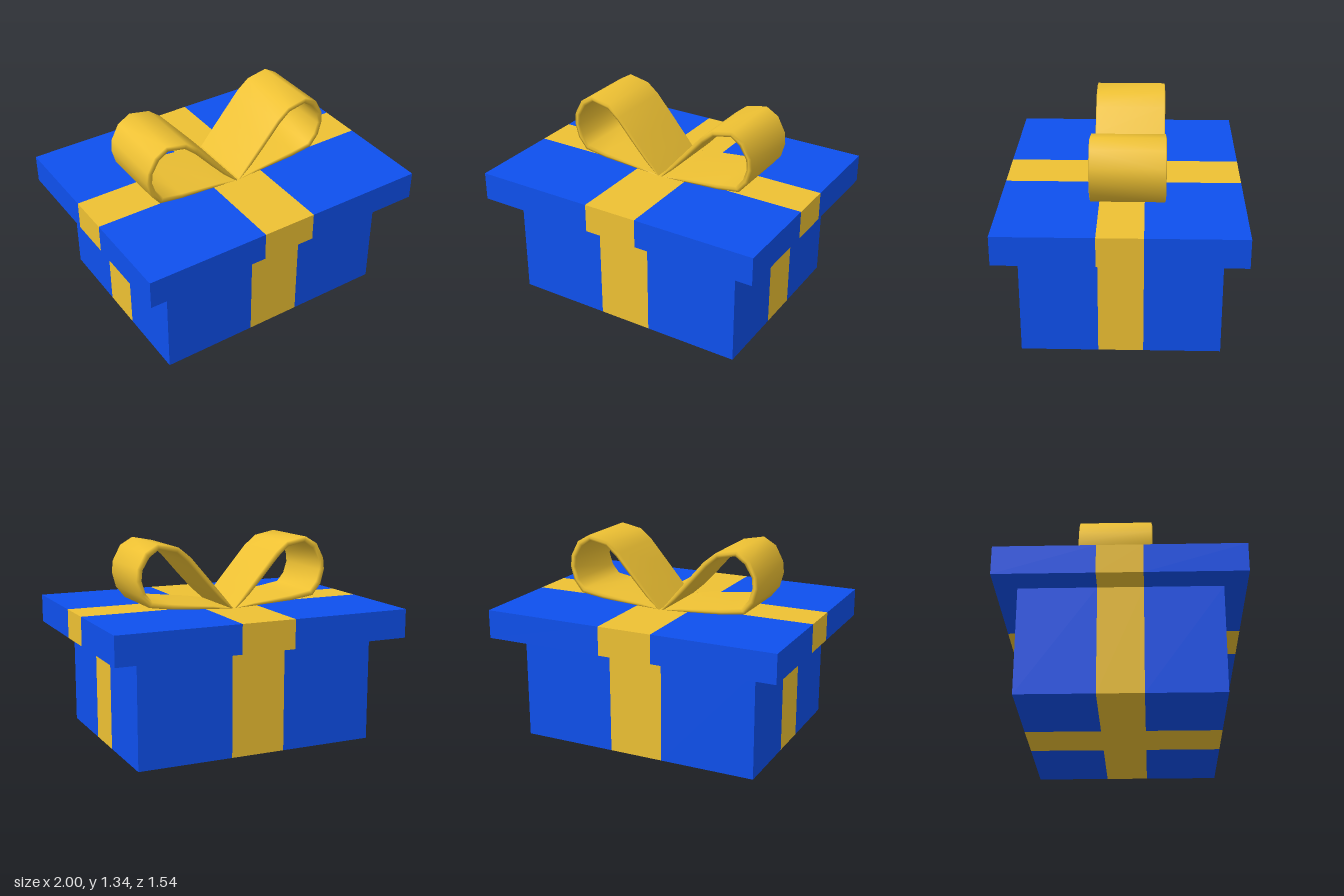
import * as THREE from 'three';

const blue = new THREE.MeshStandardMaterial({ color: 0x0e50ee });
const gold = new THREE.MeshStandardMaterial({ color: 0xeec133 });
const RIBBON_X = 0.183, RIBBON_Z = 0.143; // half widths of the crossing bands

// A box whose crossing ribbon bands lie flush with its faces
function wrappedBox(name, w, y0, y1, d) {
  const group = new THREE.Group();
  group.name = name;
  const box = new THREE.BoxGeometry(w, y1 - y0, d, 3, 1, 3);
  const p = box.attributes.position;
  for (let i = 0; i < p.count; i++) {
    // slide the inner grid lines to the ribbon edges
    const x = p.getX(i), z = p.getZ(i);
    if (Math.abs(x) < w * 0.4) p.setX(i, Math.sign(x) * RIBBON_X);
    if (Math.abs(z) < d * 0.4) p.setZ(i, Math.sign(z) * RIBBON_Z);
  }
  // sort the triangles into paper and ribbon
  const paper = [], ribbon = [], idx = box.index.array;
  for (let t = 0; t < idx.length; t += 3) {
    const tri = [idx[t], idx[t + 1], idx[t + 2]];
    const cx = tri.reduce((s, v) => s + p.getX(v), 0) / 3;
    const cz = tri.reduce((s, v) => s + p.getZ(v), 0) / 3;
    const onBand = Math.abs(cx) < RIBBON_X || Math.abs(cz) < RIBBON_Z;
    (onBand ? ribbon : paper).push(...tri);
  }
  for (const [part, index, mat] of [['Paper', paper, blue], ['Ribbon', ribbon, gold]]) {
    const geo = box.clone();
    geo.setIndex(index);
    const mesh = new THREE.Mesh(geo, mat);
    mesh.name = name + part;
    mesh.position.y = (y0 + y1) / 2;
    group.add(mesh);
  }
  return group;
}

// Bow loop outline: outer x, outer y, inner x, inner y
const LOOP = [
  [0.006, 0.89, 0.02, 0.89],
  [0.085, 0.985, 0.105, 0.965],
  [0.177, 1.092, 0.2, 1.068],
  [0.305, 1.24, 0.325, 1.21],
  [0.388, 1.307, 0.4, 1.275],
  [0.53, 1.335, 0.52, 1.3],
  [0.615, 1.285, 0.585, 1.255],
  [0.668, 1.185, 0.633, 1.175],
  [0.676, 1.107, 0.64, 1.107],
  [0.65, 1.01, 0.615, 1.027],
  [0.59, 0.935, 0.567, 0.968],
  [0.43, 0.912, 0.43, 0.945],
  [0.15, 0.895, 0.15, 0.913],
  [0.02, 0.89, 0.03, 0.893],
];

function bowLoop(name, side) {
  const front = 0.2, back = -0.275, bevel = 0.006;
  const pos = [], index = [], n = 6;
  for (const [ox, oy, ix, iy] of LOOP) {
    const mx = (ox + ix) / 2, my = (oy + iy) / 2;
    const section = [
      [ox, oy, front - bevel], [ox, oy, back + bevel], [mx, my, back],
      [ix, iy, back + bevel], [ix, iy, front - bevel], [mx, my, front],
    ];
    for (const [x, y, z] of section) pos.push(x * side, y, z);
  }
  for (let i = 0; i < LOOP.length - 1; i++) {
    for (let j = 0; j < n; j++) {
      const k = (j + 1) % n;
      const a = i * n + j, b = a + n, c = (i + 1) * n + k, d = i * n + k;
      if (side > 0) index.push(a, b, c, a, c, d);
      else index.push(a, c, b, a, d, c);
    }
  }
  const geo = new THREE.BufferGeometry();
  geo.setAttribute('position', new THREE.Float32BufferAttribute(pos, 3));
  geo.setIndex(index);
  geo.computeVertexNormals();
  const mesh = new THREE.Mesh(geo, gold);
  mesh.name = name;
  return mesh;
}

export function createModel() {
  const gift = new THREE.Group();
  gift.name = 'giftBox';
  gift.add(wrappedBox('box', 1.63, 0, 0.7, 1.264));
  gift.add(wrappedBox('lid', 2, 0.7, 0.89, 1.544));

  const bow = new THREE.Group();
  bow.name = 'bow';
  bow.add(bowLoop('leftBowLoop', 1), bowLoop('rightBowLoop', -1));
  gift.add(bow);
  return gift;
}
